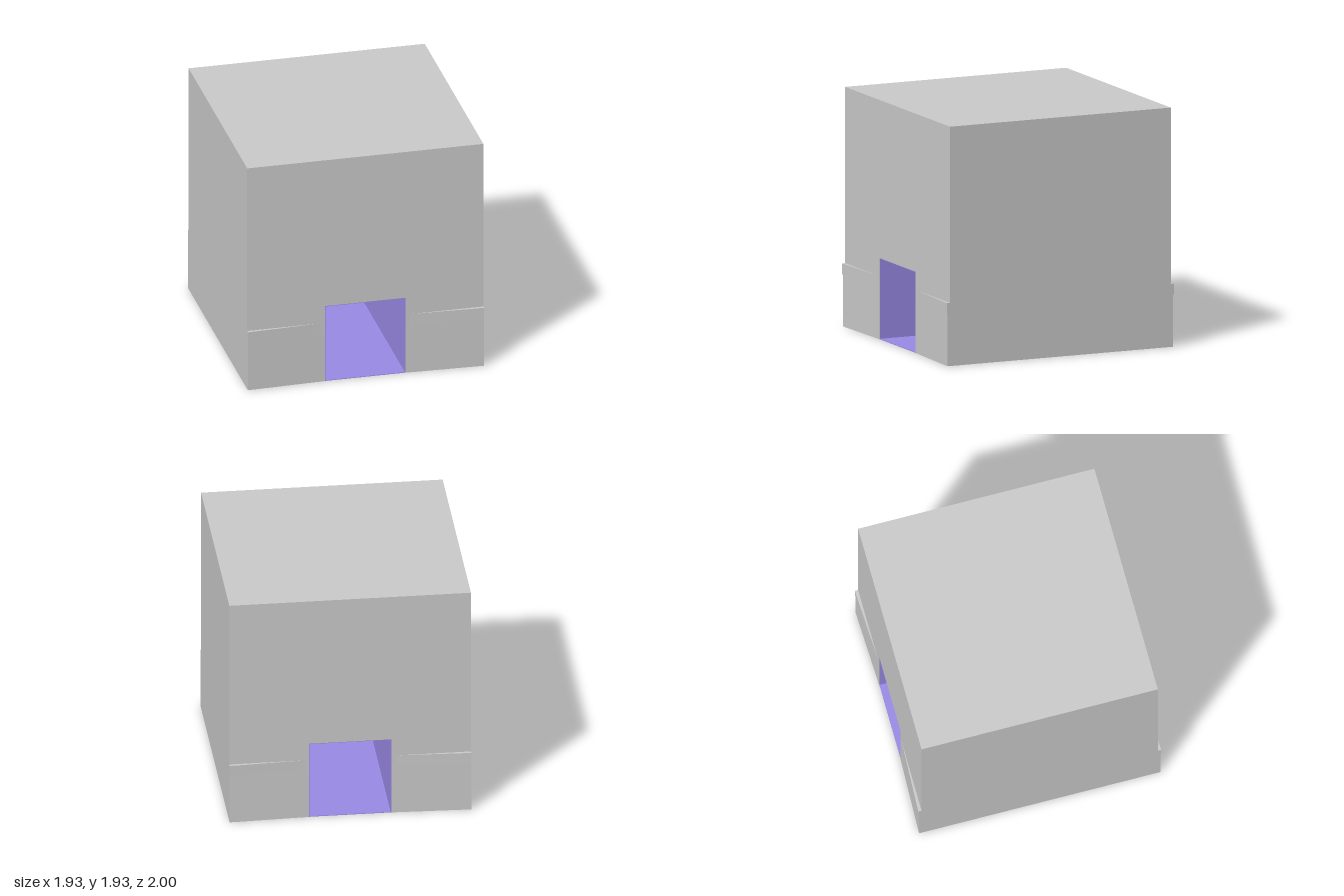
import * as THREE from 'three';

const HALF = 0.967, DEPTH = 0.973, HEIGHT = 1.935; // main block
const HOLE_X = 0.33, HOLE_Y = 0.657, SKIN = 0.005; // passage

export function createModel() {
  const group = new THREE.Group();
  const grey = new THREE.MeshStandardMaterial({ color: 0xcccccc, flatShading: true });
  const purple = new THREE.MeshStandardMaterial({ color: 0x9a8ae6, flatShading: true });

  const add = (name, geometry, material) => {
    const mesh = new THREE.Mesh(geometry, material);
    mesh.name = name;
    group.add(mesh);
    return mesh;
  };

  // Block with a square passage running front to back
  const outline = new THREE.Shape([
    [-HALF, 0], [-HOLE_X, 0], [-HOLE_X, HOLE_Y], [HOLE_X, HOLE_Y],
    [HOLE_X, 0], [HALF, 0], [HALF, HEIGHT], [-HALF, HEIGHT],
  ].map(([x, y]) => new THREE.Vector2(x, y)));
  const block = new THREE.ExtrudeGeometry(outline, { depth: 2 * DEPTH, bevelEnabled: false });
  add('block', block.translate(0, 0, -DEPTH), grey);

  // Thin coloured lining: floor, ceiling and two walls
  const panel = (name, w, h, x, y) =>
    add(name, new THREE.BoxGeometry(w, h, 2 * DEPTH - 0.004), purple).position.set(x, y, 0);
  panel('passageFloor', 2 * HOLE_X, SKIN, 0, SKIN / 2);
  panel('passageCeiling', 2 * HOLE_X, SKIN, 0, HOLE_Y - SKIN / 2);
  for (const side of [-1, 1]) {
    panel('passageWall', SKIN, HOLE_Y - 2 * SKIN, side * (HOLE_X - SKIN / 2), HOLE_Y / 2);
  }

  // Wedge that thickens from the passage towards a corner
  const wedge = (name, sx, sz, innerX, cornerZ, y0, y1) => {
    const plan = new THREE.Shape([
      new THREE.Vector2(sx * innerX, -sz * DEPTH),
      new THREE.Vector2(sx * HALF, -sz * DEPTH),
      new THREE.Vector2(sx * HALF, -sz * cornerZ),
    ]);
    const geometry = new THREE.ExtrudeGeometry(plan, { depth: y1 - y0, bevelEnabled: false });
    add(name, geometry.rotateX(-Math.PI / 2).translate(0, y0, 0), grey);
  };

  // Flared skirt and its raised upper band, at all four corners
  for (const sx of [-1, 1]) {
    for (const sz of [-1, 1]) {
      wedge('skirt', sx, sz, HOLE_X, 0.994, 0, 0.42);
      wedge('skirtBand', sx, sz, 0.36, 1, 0.42, 0.51);
    }
  }

  return group;
}
